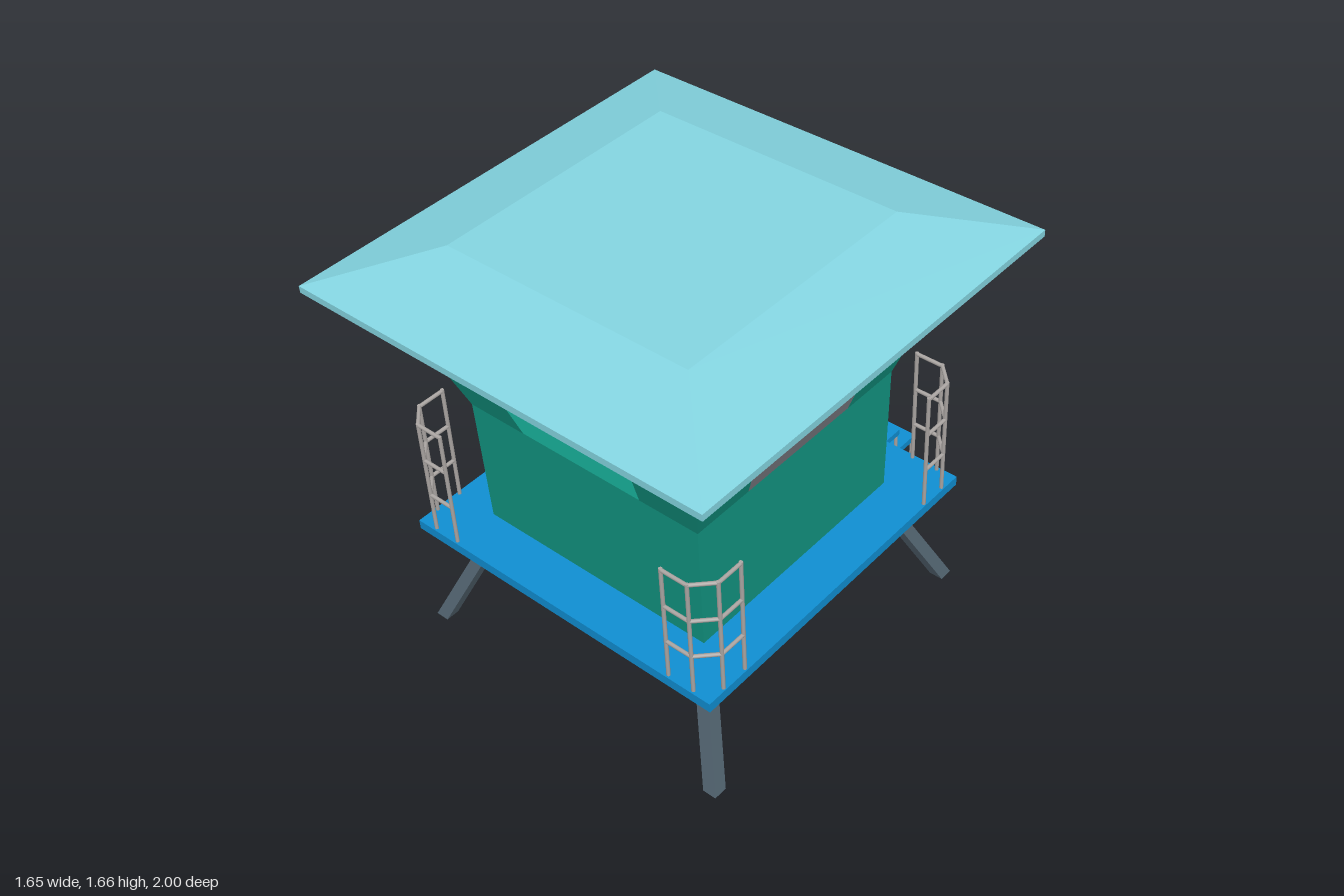
import * as THREE from 'three';

const mat = (name, color, extra = {}) =>
  new THREE.MeshStandardMaterial({ name, color, ...extra });

export function createModel() {
  const wallGreen = mat('wallGreen', 0x11927f, { flatShading: true, side: THREE.DoubleSide });
  const roofAqua = mat('roofAqua', 0x82d2de, { flatShading: true });
  const deckBlue = mat('deckBlue', 0x0f8ccf, { flatShading: true });
  const legSlate = mat('legSlate', 0x4f606c, { flatShading: true });
  const pipeGrey = mat('pipeGrey', 0xaaa5a2);
  const paneGrey = mat('paneGrey', 0x7e7e85, { flatShading: true, side: THREE.DoubleSide });

  // The whole hut leans slightly; its own origin is the middle of the deck top
  const model = new THREE.Group();
  model.name = 'lifeguardHut';
  const hut = new THREE.Group();
  hut.name = 'tiltedHut';
  hut.position.set(0.003, 0.508, 0.115);
  hut.rotation.set(0.0625, 0.008, -0.006);
  model.add(hut);

  const add = (name, geo, material, parent = hut) => {
    const mesh = new THREE.Mesh(geo, material);
    mesh.name = name;
    parent.add(mesh);
    return mesh;
  };
  const box = (name, material, w, h, d, x, y, z, parent) => {
    const m = add(name, new THREE.BoxGeometry(w, h, d), material, parent);
    m.position.set(x, y, z);
    return m;
  };
  const pipe = (name, a, b, parent) => {
    const dir = b.clone().sub(a);
    const m = add(name, new THREE.CylinderGeometry(0.007, 0.007, dir.length(), 8), pipeGrey, parent);
    m.position.copy(a).add(b).multiplyScalar(0.5);
    m.quaternion.setFromUnitVectors(new THREE.Vector3(0, 1, 0), dir.normalize());
  };
  const V = (x, y, z) => new THREE.Vector3(x, y, z);

  // Deck
  box('deck', deckBlue, 1.312, 0.037, 1.316, 0, -0.0185, 0);

  // Walls: flat outlines pushed out to the wall line at each height
  const BASE = 0.477, KNEE = 0.487, TOP = 0.66, KNEE_Y = 0.495, TOP_Y = 0.99, WIN_Y = 0.75;
  const wallOut = (y) => y <= KNEE_Y
    ? THREE.MathUtils.mapLinear(y, 0, KNEE_Y, BASE, KNEE)
    : THREE.MathUtils.mapLinear(y, KNEE_Y, TOP_Y, KNEE, TOP);
  const panel = (name, material, pts, parent) => {
    const geo = new THREE.ShapeGeometry(new THREE.Shape(pts.map(p => new THREE.Vector2(...p))));
    const pos = geo.attributes.position;
    for (let i = 0; i < pos.count; i++) pos.setZ(i, wallOut(pos.getY(i)));
    geo.computeVertexNormals();
    add(name, geo, material, parent);
  };
  const windowPts = [[-0.25, KNEE_Y], [0.25, KNEE_Y], [0.288, WIN_Y], [-0.288, WIN_Y]];
  const upperPts = [
    [-KNEE, KNEE_Y], [-0.25, KNEE_Y], [-0.288, WIN_Y], [0.288, WIN_Y],
    [0.25, KNEE_Y], [KNEE, KNEE_Y], [TOP, TOP_Y], [-TOP, TOP_Y],
  ];
  const lowerPts = [[-BASE, 0], [BASE, 0], [KNEE, KNEE_Y], [-KNEE, KNEE_Y]];
  ['front', 'left', 'back', 'right'].forEach((side, i) => {
    const wall = new THREE.Group();
    wall.name = side + 'Wall';
    wall.rotation.y = i * Math.PI / 2;
    hut.add(wall);
    panel('upperWall', wallGreen, upperPts, wall);
    if (side === 'back') {
      // Doorway leaves one strip of wall on each side
      panel('doorSideA', wallGreen, [[-BASE, 0], [-0.245, 0], [-0.25, KNEE_Y], [-KNEE, KNEE_Y]], wall);
      panel('doorSideB', wallGreen, [[0.245, 0], [BASE, 0], [KNEE, KNEE_Y], [0.25, KNEE_Y]], wall);
    } else {
      panel('lowerWall', wallGreen, lowerPts, wall);
    }
    if (i % 2) panel('windowPane', paneGrey, windowPts, wall);
  });
  box('floor', wallGreen, 0.952, 0.004, 0.952, 0, 0.002, 0);
  box('innerCeiling', wallGreen, 0.972, 0.003, 0.972, 0, KNEE_Y - 0.002, 0);

  // Roof: four-sided hip with a flat top and thin rim
  const q = Math.SQRT2;
  const roofProfile = [[0, 0.993], [0.818 * q, 0.993], [0.818 * q, 1.018], [0.487 * q, 1.128], [0, 1.128]]
    .map(p => new THREE.Vector2(...p));
  add('roof', new THREE.LatheGeometry(roofProfile, 4, Math.PI / 4), roofAqua);

  // Splayed legs with level feet, and braces meeting at a hub
  for (const sx of [-1, 1]) for (const sz of [-1, 1]) {
    const topY = -0.037, footY = -0.462;
    const geo = new THREE.BoxGeometry(0.052, topY - footY, 0.052);
    geo.translate(0, (topY + footY) / 2, 0);
    const pos = geo.attributes.position;
    for (let i = 0; i < pos.count; i++) {
      const out = pos.getY(i) > -0.2 ? 0.452 : 0.63;
      pos.setX(i, pos.getX(i) + sx * out);
      pos.setZ(i, pos.getZ(i) + sz * out);
    }
    geo.computeVertexNormals();
    add('leg', geo, legSlate);

    const a = V(0, -0.41, 0), b = V(sx * 0.455, -0.07, sz * 0.455);
    const brace = box('brace', legSlate, 0.042, 0.04, a.distanceTo(b), 0, 0, 0);
    brace.position.copy(a).add(b).multiplyScalar(0.5);
    // Aim the bar in hut space, independent of the hut's tilt
    const aim = new THREE.Matrix4().lookAt(b, a, V(0, 1, 0));
    brace.quaternion.setFromRotationMatrix(aim);
  }
  box('braceHub', legSlate, 0.07, 0.068, 0.065, 0, -0.433, 0);

  // Corner railings: four posts and three rails with a cut corner
  for (const sx of [-1, 1]) for (const sz of [-1, 1]) {
    const rail = new THREE.Group();
    rail.name = 'cornerRailing';
    hut.add(rail);
    const spots = [[0.477, 0.646], [0.58, 0.646], [0.646, 0.58], [0.646, 0.477]];
    const at = ([x, z], y) => V(sx * x, y, sz * z);
    spots.forEach((s, i) => {
      pipe('railPost', at(s, 0), at(s, 0.47), rail);
      if (i) for (const y of [0.155, 0.31, 0.464]) pipe('railBar', at(spots[i - 1], y), at(s, y), rail);
    });
  }

  // Steps down from the back
  const stairs = new THREE.Group();
  stairs.name = 'stairs';
  hut.add(stairs);
  for (let i = 0; i < 4; i++) {
    const y = -0.075 - i * 0.098, z = -0.713 - i * 0.1057;
    box('tread', deckBlue, 0.37, 0.025, 0.114, 0, y, z, stairs);
    for (const sx of [-1, 1]) {
      pipe('stairPost', V(sx * 0.175, y, z - 0.05), V(sx * 0.175, y - 0.1, z - 0.05), stairs);
      if (!i) pipe('stairHanger', V(sx * 0.175, -0.02, -0.652), V(sx * 0.175, y, -0.652), stairs);
    }
  }

  return model;
}
